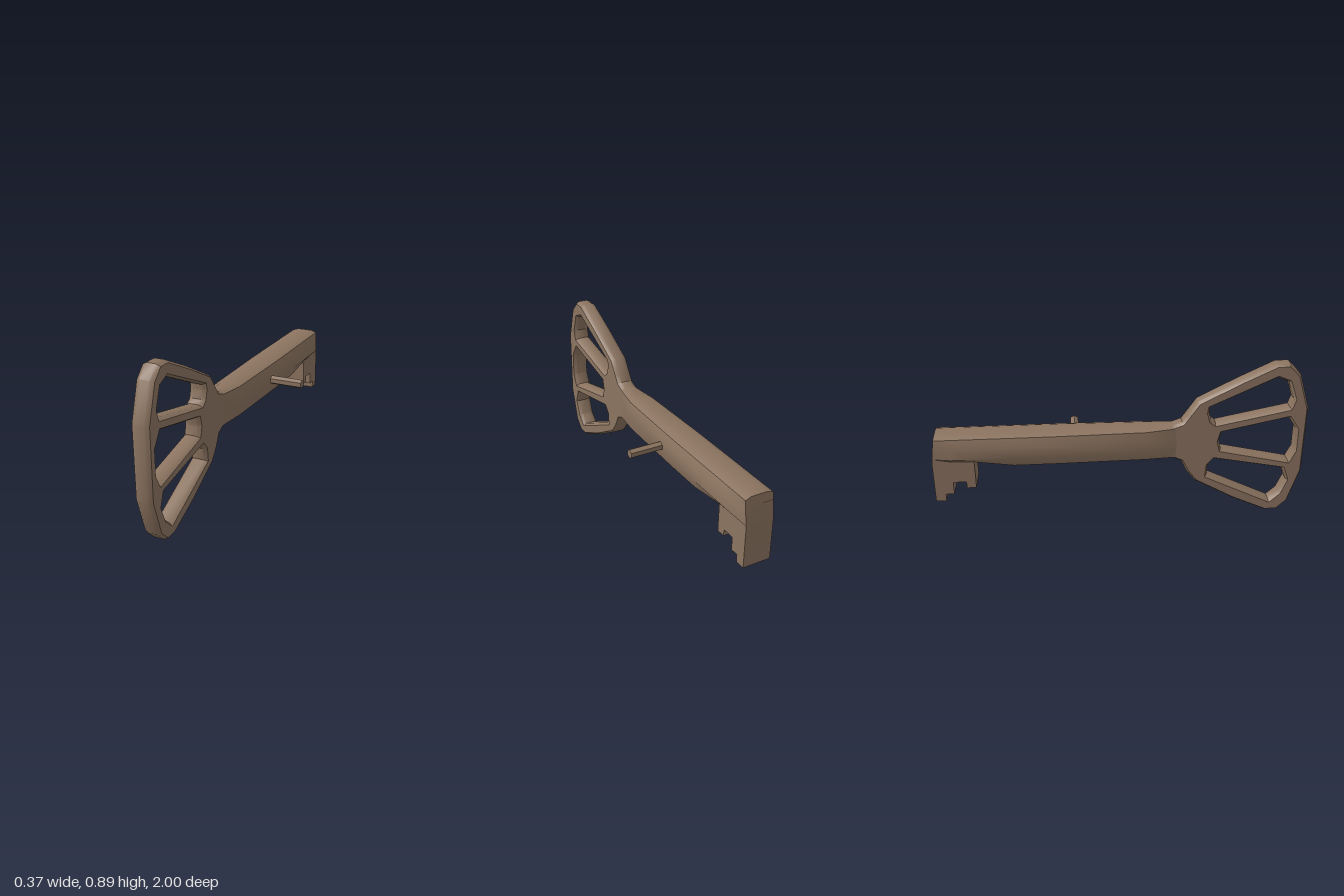
import * as THREE from 'three';
import { toCreasedNormals } from 'three/addons/utils/BufferGeometryUtils.js';

const AXIS_X = -0.091; // centre plane of the key
const CENTRE_Y = 0.458;

const toPoints = (list) => list.map(([z, y]) => new THREE.Vector2(z, y));

// Extrude a (z, y) outline sideways, centred on the key's plane
function sidePlate(outline, holes, width, bevelX, bevelIn) {
  const shape = new THREE.Shape(toPoints(outline));
  for (const hole of holes) shape.holes.push(new THREE.Path(toPoints(hole)));
  const depth = width - 2 * bevelX;
  const geo = new THREE.ExtrudeGeometry(shape, {
    depth, bevelEnabled: bevelX > 0, bevelThickness: bevelX,
    bevelSize: bevelIn, bevelOffset: -bevelIn, bevelSegments: 1,
  });
  geo.translate(0, 0, -depth / 2);
  geo.rotateY(-Math.PI / 2);
  geo.translate(AXIS_X, 0, 0);
  return toCreasedNormals(geo, 0.6);
}

// Twelve-sided rounded cross-section
function shaftRing({ z, w, m, t, top, bottom, slant = 0 }) {
  const half = [[w, CENTRE_Y + 0.03], [m, top - 0.012], [t, top]];
  const under = [[t, bottom], [m, bottom + 0.01], [w, CENTRE_Y - 0.03]];
  const flip = (pts) => pts.map(([x, y]) => [-x, y]).reverse();
  return [...half, ...flip(half), ...flip(under), ...under].map(([x, y]) =>
    [AXIS_X + x, y, z + slant * Math.max(0, (y - 0.4) / 0.15)]);
}

function loft(rings) {
  const n = rings[0].length, index = [];
  for (let i = 0; i < rings.length - 1; i++) {
    for (let j = 0; j < n; j++) {
      const a = i * n + j, b = i * n + (j + 1) % n;
      index.push(a, a + n, b, b, a + n, b + n);
    }
  }
  const last = (rings.length - 1) * n;
  for (let j = 1; j < n - 1; j++) {
    index.push(0, j, j + 1, last, last + j + 1, last + j);
  }
  const geo = new THREE.BufferGeometry();
  geo.setAttribute('position', new THREE.Float32BufferAttribute(rings.flat(2), 3));
  geo.setIndex(index);
  return toCreasedNormals(geo.toNonIndexed(), 0.6);
}

export function createModel() {
  const model = new THREE.Group();
  model.name = 'key';
  const bronze = new THREE.MeshStandardMaterial({ color: 0x8c7460 });
  bronze.name = 'bronze';
  const add = (name, geo) => {
    const mesh = new THREE.Mesh(geo, bronze);
    mesh.name = name;
    model.add(mesh);
    return mesh;
  };

  // Fan-shaped handle with three openings
  const outline = [
    [0.13, 0.37], [0.28, 0.36], [0.325, 0.34], [0.355, 0.278], [0.405, 0.212],
    [0.62, 0.09], [0.81, 0.003], [0.88, 0.003], [0.94, 0.06], [1, 0.255],
    [1, 0.635], [0.94, 0.83], [0.88, 0.89], [0.81, 0.89], [0.62, 0.8],
    [0.405, 0.688], [0.355, 0.615], [0.325, 0.572], [0.28, 0.555], [0.13, 0.545],
  ];
  const holes = [
    [[0.82, 0.815], [0.88, 0.79], [0.915, 0.69], [0.9, 0.64],
      [0.505, 0.56], [0.48, 0.58], [0.467, 0.625], [0.47, 0.655]],
    [[0.9, 0.58], [0.945, 0.51], [0.945, 0.38], [0.915, 0.32],
      [0.54, 0.405], [0.528, 0.455], [0.54, 0.505]],
    [[0.89, 0.27], [0.915, 0.2], [0.88, 0.115], [0.83, 0.07],
      [0.47, 0.245], [0.475, 0.31], [0.505, 0.345]],
  ];
  add('handle', sidePlate(outline, holes, 0.092, 0.02, 0.012));

  // Shaft swelling out from the handle
  const sections = [
    { z: 0.3, w: 0.045, m: 0.044, t: 0.026, top: 0.556, bottom: 0.357 },
    { z: 0.26, w: 0.053, m: 0.05, t: 0.028, top: 0.553, bottom: 0.361 },
    { z: 0.13, w: 0.079, m: 0.069, t: 0.036, top: 0.55, bottom: 0.366 },
    { z: -0.35, w: 0.096, m: 0.078, t: 0.045, top: 0.55, bottom: 0.366 },
    { z: -0.57, w: 0.096, m: 0.078, t: 0.045, top: 0.55, bottom: 0.366 },
    { z: -0.78, w: 0.096, m: 0.078, t: 0.045, top: 0.55, bottom: 0.395 },
    { z: -0.9, w: 0.096, m: 0.078, t: 0.045, top: 0.55, bottom: 0.4 },
    { z: -1, w: 0.078, m: 0.078, t: 0.045, top: 0.55, bottom: 0.4, slant: 0.02 },
  ];
  add('shaft', loft(sections.map(shaftRing)));

  // Stepped bit under the tip
  add('bit', sidePlate([
    [-0.78, 0.5], [-0.78, 0.248], [-0.83, 0.248], [-0.83, 0.285], [-0.9, 0.285],
    [-0.9, 0.213], [-0.945, 0.213], [-0.945, 0.172], [-1, 0.172], [-1, 0.4], [-0.987, 0.5],
  ], [], 0.154, 0, 0));

  // Hexagonal side peg
  const peg = new THREE.CylinderGeometry(0.025, 0.025, 0.235, 6, 1, false, Math.PI / 6);
  peg.rotateZ(-Math.PI / 2);
  add('peg', toCreasedNormals(peg, 0.6)).position.set(0.0685, CENTRE_Y, -0.243);

  return model;
}
